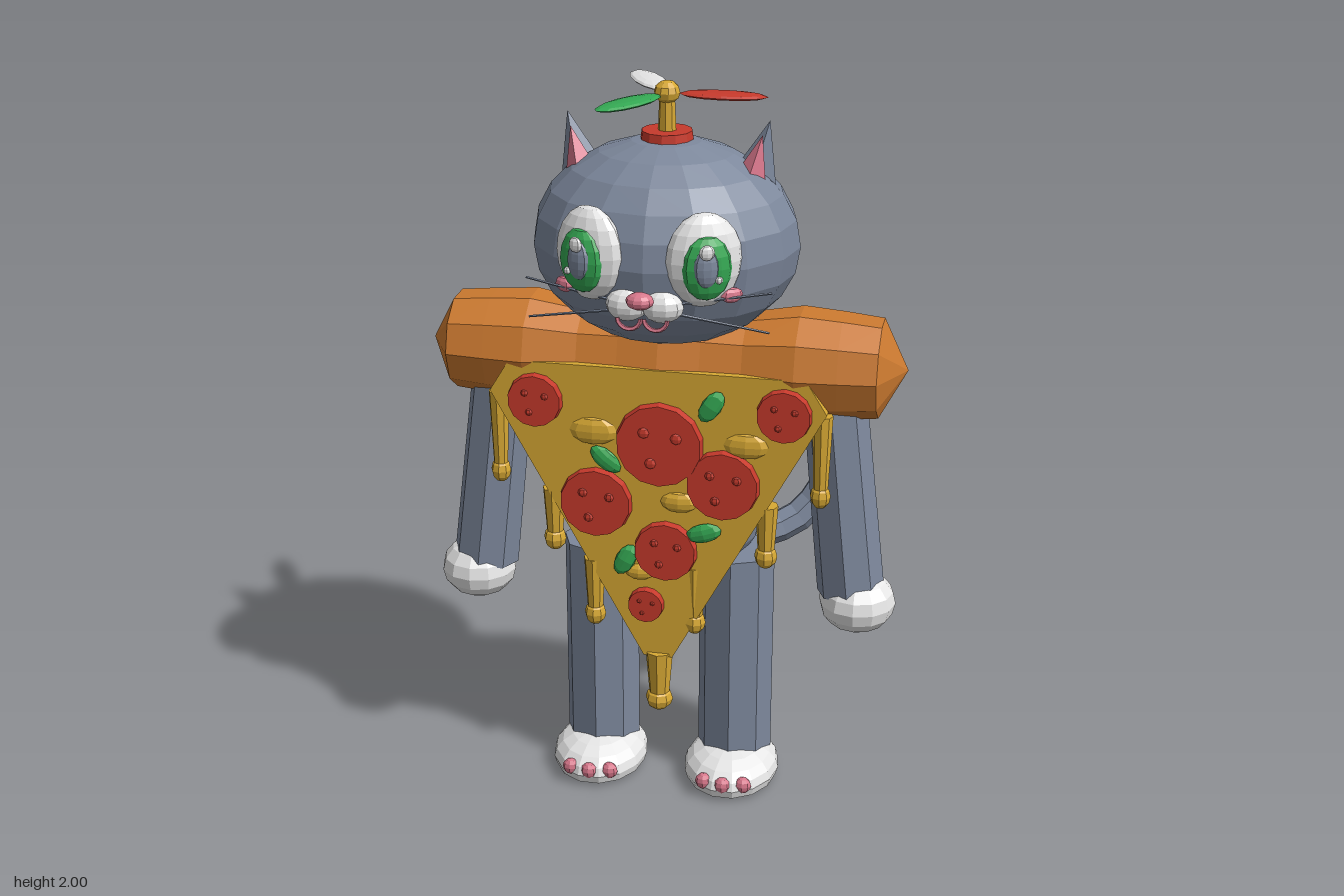
import * as THREE from 'three';

const mat = (name, color) => {
  const m = new THREE.MeshStandardMaterial({ color });
  m.name = name;
  m.flatShading = true;
  return m;
};

export function createModel() {
  const root = new THREE.Group();
  root.name = 'pizzaCat';
  const fur = mat('slate fur', 0x7d889c);
  const white = mat('white', 0xe6e6e6);
  const cheese = mat('cheese gold', 0xd8a934);
  const red = mat('sauce red', 0xc73a2c);
  const crust = mat('crust orange', 0xcc7a30);
  const bread = mat('bread tan', 0xc8a468);
  const green = mat('green', 0x34a853);
  const pink = mat('pink', 0xd9788c);

  const add = (name, geo, material, pos = [0, 0, 0], rot = [0, 0, 0], parent = root) => {
    const m = new THREE.Mesh(geo, material);
    m.name = name;
    m.position.set(...pos);
    m.rotation.set(...rot);
    parent.add(m);
    return m;
  };
  const ball = (name, material, pos, r, rot, w = 10, h = 8, parent = root) =>
    add(name, new THREE.SphereGeometry(1, w, h).scale(...r), material, pos, rot, parent);
  const rod = (name, material, a, b, r0, r1, sides) => {
    const A = new THREE.Vector3(...a), B = new THREE.Vector3(...b);
    const d = B.clone().sub(A);
    const m = add(name, new THREE.CylinderGeometry(r1, r0, d.length(), sides), material,
      A.clone().add(B).multiplyScalar(0.5).toArray());
    m.quaternion.setFromUnitVectors(new THREE.Vector3(0, 1, 0), d.normalize());
    return m;
  };

  // Head and body
  ball('head', fur, [0, 1.59, 0.02], [0.352, 0.272, 0.292], [0, 0, 0], 16, 12);
  ball('torso', fur, [0, 0.79, -0.045], [0.25, 0.21, 0.168], [0, 0, 0], 14, 10);

  // Mirrored parts
  for (const s of [-1, 1]) {
    const side = s > 0 ? 'left' : 'right';
    add(side + 'Ear', new THREE.ConeGeometry(0.085, 0.23, 4), fur, [s * 0.235, 1.8, 0.0], [0, 0, -s * 0.25]);
    add(side + 'InnerEar', new THREE.ConeGeometry(0.06, 0.17, 4), pink, [s * 0.228, 1.797, 0.035], [-0.08, 0, -s * 0.25]);

    // Eye, built facing forward and turned outwards
    const eye = new THREE.Group();
    eye.name = side + 'Eye';
    eye.position.set(s * 0.145, 1.62, 0.262);
    eye.rotation.y = s * 0.4;
    root.add(eye);
    ball('eyeWhite', white, [0, 0, 0], [0.097, 0.122, 0.05], [0, 0, 0], 14, 10, eye);
    ball('iris', green, [0, -0.01, 0.035], [0.064, 0.084, 0.03], [0, 0, 0], 12, 8, eye);
    ball('pupil', fur, [-s * 0.006, -0.005, 0.056], [0.033, 0.05, 0.016], [0, 0, 0], 10, 8, eye);
    ball('glint', white, [-s * 0.008, 0.04, 0.07], [0.02, 0.02, 0.01], [0, 0, 0], 8, 6, eye);
    ball('smallGlint', white, [s * 0.025, -0.035, 0.062], [0.01, 0.01, 0.008], [0, 0, 0], 6, 5, eye);

    // Muzzle, mouth, cheek and whiskers
    ball(side + 'Muzzle', white, [s * 0.045, 1.5, 0.29], [0.055, 0.042, 0.038], [0, 0, 0]);
    add(side + 'Mouth', new THREE.TorusGeometry(0.03, 0.006, 5, 8, Math.PI), pink, [s * 0.034, 1.475, 0.318], [0, 0, Math.PI]);
    ball(side + 'Cheek', pink, [s * 0.215, 1.53, 0.255], [0.03, 0.02, 0.014], [0, s * 0.6, 0], 8, 6);
    rod(side + 'UpperWhisker', fur, [s * 0.09, 1.51, 0.29], [s * 0.315, 1.54, 0.25], 0.004, 0.003, 5);
    rod(side + 'LowerWhisker', fur, [s * 0.09, 1.48, 0.285], [s * 0.31, 1.435, 0.25], 0.004, 0.003, 5);

    // Arm and hand
    rod(side + 'Arm', fur, [s * 0.515, 0.63, 0.03], [s * 0.445, 1.25, 0.015], 0.092, 0.085, 8);
    ball(side + 'Hand', white, [s * 0.535, 0.6, 0.037], [0.105, 0.086, 0.105], [0, 0, 0], 12, 8);

    // Leg, flat-soled foot and toes
    rod(side + 'Leg', fur, [s * 0.192, 0.08, -0.015], [s * 0.192, 0.7, -0.015], 0.105, 0.105, 8);
    const foot = new THREE.SphereGeometry(1, 14, 10).scale(0.135, 0.078, 0.165);
    const p = foot.attributes.position;
    for (let i = 0; i < p.count; i++) p.setY(i, Math.max(p.getY(i), -0.036));
    add(side + 'Foot', foot, white, [s * 0.192, 0.036, 0.028]);
    for (const t of [-1, 0, 1])
      ball(side + 'Toe', pink, [s * 0.192 + t * 0.056, 0.05, t ? 0.165 : 0.178], [0.024, 0.024, 0.018], [0, 0, 0], 8, 6);
  }
  ball('nose', pink, [0, 1.53, 0.345], [0.036, 0.022, 0.03], [0, 0, 0]);

  // Tail
  const tailPath = new THREE.CatmullRomCurve3([
    [0.08, 0.68, -0.15], [0.2, 0.645, -0.225], [0.33, 0.69, -0.29],
    [0.41, 0.82, -0.33], [0.425, 0.97, -0.33], [0.4, 1.05, -0.3],
  ].map(a => new THREE.Vector3(...a)));
  add('tail', new THREE.TubeGeometry(tailPath, 12, 0.046, 7), fur);
  ball('tailTip', fur, [0.4, 1.05, -0.3], [0.045, 0.04, 0.045], [0, 0, 0], 8, 6);

  // Propeller hat
  add('hatDisc', new THREE.CylinderGeometry(0.066, 0.07, 0.03, 12), red, [0, 1.862, 0.01]);
  add('hatPost', new THREE.CylinderGeometry(0.02, 0.024, 0.1, 8), cheese, [0, 1.92, 0.01]);
  ball('propellerHub', cheese, [0, 1.974, 0.01], [0.034, 0.03, 0.034], [0, 0, 0], 10, 6);
  [red, white, green].forEach((m, i) => {
    const a = i * Math.PI * 2 / 3;
    ball('propellerBlade', m, [0.145 * Math.cos(a), 1.972, 0.01 - 0.145 * Math.sin(a)],
      [0.115, 0.01, 0.041], [0, a, 0], 12, 6);
  });

  // Rolled crust across the shoulders
  const half = [[0, 0.642], [0.132, 0.572], [0.142, 0.47], [0.15, 0.36], [0.125, 0.22], [0.128, 0.11]];
  const profile = [
    ...half.map(([r, h]) => new THREE.Vector2(r, -h)),
    new THREE.Vector2(0.14, 0),
    ...half.slice().reverse().map(([r, h]) => new THREE.Vector2(r, h)),
  ];
  add('crustRoll', new THREE.LatheGeometry(profile, 10), crust, [0, 1.272, 0.015], [0, 0, Math.PI / 2]);

  // Slice layers, thinner towards the tip
  const thin = y => 0.8 + 0.2 * (y - 0.42) / 0.855;
  const frontZ = y => 0.05 + 0.11 * thin(y);
  const outline = new THREE.Shape([[-0.04, 0.42], [0.04, 0.42], [0.45, 1.185], [0.395, 1.275], [-0.395, 1.275], [-0.45, 1.185]]
    .map(a => new THREE.Vector2(...a)));
  const layer = (name, m, z0, z1) => {
    const g = new THREE.ExtrudeGeometry(outline, { depth: z1 - z0, bevelEnabled: false });
    const p = g.attributes.position;
    for (let i = 0; i < p.count; i++) p.setZ(i, 0.05 + (p.getZ(i) + z0 - 0.05) * thin(p.getY(i)));
    g.computeVertexNormals();
    add(name, g, m);
  };
  layer('breadLayer', bread, -0.122, 0.09);
  layer('sauceLayer', red, 0.09, 0.128);
  layer('cheeseLayer', cheese, 0.128, 0.16);

  // Pepperoni with small raised spots
  for (const [x, y, r] of [[-0.325, 1.17, 0.075], [0.34, 1.178, 0.074], [0.01, 1.068, 0.12], [-0.165, 0.885, 0.1],
    [0.18, 0.965, 0.1], [0.025, 0.755, 0.087], [-0.03, 0.585, 0.05]]) {
    const z = frontZ(y);
    add('pepperoni', new THREE.CylinderGeometry(r * 0.95, r, 0.026, 14), red, [x, y, z + 0.01], [Math.PI / 2, 0, 0]);
    for (const a of [0.5, 2.4, 4.3])
      ball('pepperoniSpot', red, [x + r * 0.45 * Math.cos(a), y + r * 0.45 * Math.sin(a), z + 0.023],
        [r * 0.13, r * 0.13, 0.006], [0, 0, 0], 6, 4);
  }

  // Basil leaves and cheese bubbles
  for (const [x, y, a] of [[0.15, 1.19, 1.0], [-0.135, 1.015, -0.7], [0.13, 0.82, 0.3], [-0.085, 0.72, 1.1]])
    ball('basilLeaf', green, [x, y, frontZ(y) + 0.012], [0.05, 0.027, 0.014], [0, 0, a], 8, 6);
  for (const [x, y, r] of [[-0.17, 1.09, 0.065], [0.24, 1.08, 0.06], [-0.05, 0.68, 0.04], [0.06, 0.9, 0.05]])
    ball('cheeseBubble', cheese, [x, y, frontZ(y)], [r, r * 0.6, 0.015], [0, 0, 0], 8, 6);

  // Melted drips
  for (const [x, top, bottom, r] of [[-0.437, 1.17, 0.905, 0.022], [0.435, 1.17, 0.905, 0.022], [-0.29, 0.9, 0.715, 0.025],
    [0.293, 0.9, 0.715, 0.025], [-0.18, 0.7, 0.495, 0.024], [0.1, 0.7, 0.495, 0.024], [0, 0.43, 0.245, 0.031]]) {
    rod('cheeseDrip', cheese, [x, bottom + 0.03, 0.12], [x, top, 0.12], r * 0.85, r * 1.25, 8);
    ball('dripBead', cheese, [x, bottom + 0.035, 0.12], [r * 1.25, 0.035, r * 1.25], [0, 0, 0], 8, 6);
  }
  return root;
}
